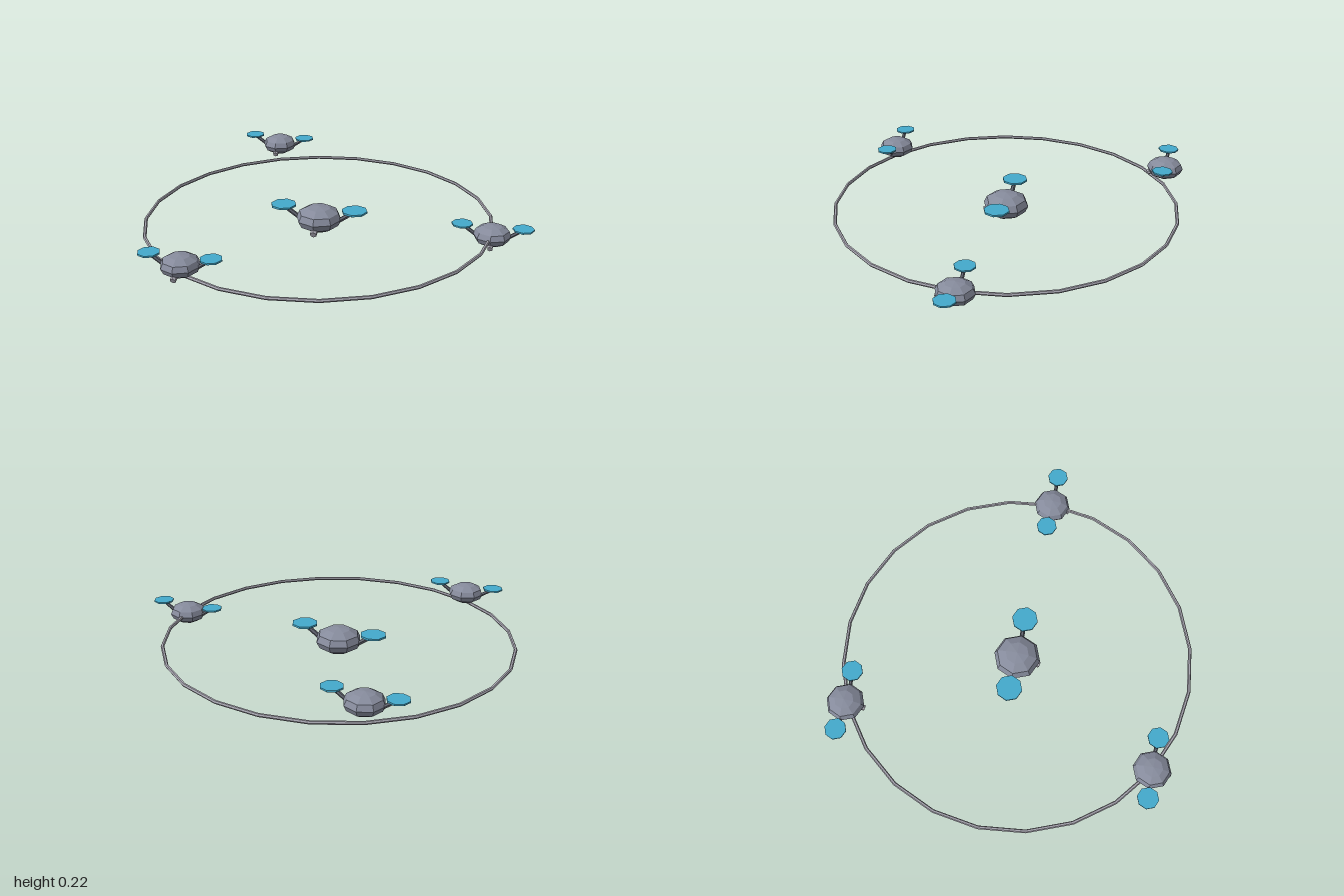
import * as THREE from 'three';

const mat = (name, color) => {
  const m = new THREE.MeshStandardMaterial({ color, flatShading: true });
  m.name = name;
  return m;
};

export function createModel() {
  const hull = mat('hull grey', 0x868b9c);
  const strut = mat('strut grey', 0x60636e);
  const light = mat('pale grey', 0xa5a3ae);
  const blue = mat('rotor blue', 0x44aacc);

  const add = (parent, name, geometry, material, x = 0, y = 0, z = 0) => {
    const mesh = new THREE.Mesh(geometry, material);
    mesh.name = name;
    mesh.position.set(x, y, z);
    parent.add(mesh);
    return mesh;
  };

  // One drone: squashed body, nose camera, two raised arms with rotor discs
  const makeDrone = (name, x, y, z, scale) => {
    const drone = new THREE.Group();
    drone.name = name;
    drone.position.set(x, y, z);
    drone.scale.setScalar(scale);
    add(drone, 'body', new THREE.SphereGeometry(0.12, 8, 6).scale(1, 0.56, 1), hull);

    const camera = add(drone, 'camera', new THREE.CylinderGeometry(0.018, 0.018, 0.05, 6), light, 0, -0.037, 0.092);
    camera.rotation.x = Math.PI / 2 + 0.4;

    for (const side of [-1, 1]) {
      const from = new THREE.Vector3(side * 0.085, -0.02, 0);
      const to = new THREE.Vector3(side * 0.188, 0.052, 0);
      const dir = to.clone().sub(from);
      const arm = add(drone, 'arm', new THREE.CylinderGeometry(0.012, 0.012, dir.length(), 6), strut);
      arm.position.copy(from).add(to).multiplyScalar(0.5);
      arm.quaternion.setFromUnitVectors(new THREE.Vector3(0, 1, 0), dir.normalize());
      add(drone, 'rotor', new THREE.CylinderGeometry(0.067, 0.067, 0.01, 8), blue, side * 0.189, 0.056, 0);
    }
    return drone;
  };

  const group = new THREE.Group();
  group.name = 'droneFormation';
  const cx = -0.1, radius = 0.891, baseY = 0.067;

  // Orbit ring
  const ring = add(group, 'orbitRing', new THREE.TorusGeometry(radius, 0.009, 6, 24), light, cx, baseY + 0.003, 0);
  ring.rotation.x = Math.PI / 2;

  // Lead drone in the middle and three smaller ones rising around the ring
  group.add(makeDrone('leadDrone', cx, baseY, 0, 1));
  for (let i = 0; i < 3; i++) {
    const a = (i * Math.PI * 2) / 3;
    group.add(makeDrone('escortDrone' + (i + 1), cx + radius * Math.cos(a), baseY + 0.003 + i * 0.05, radius * Math.sin(a), 0.8));
  }
  return group;
}
